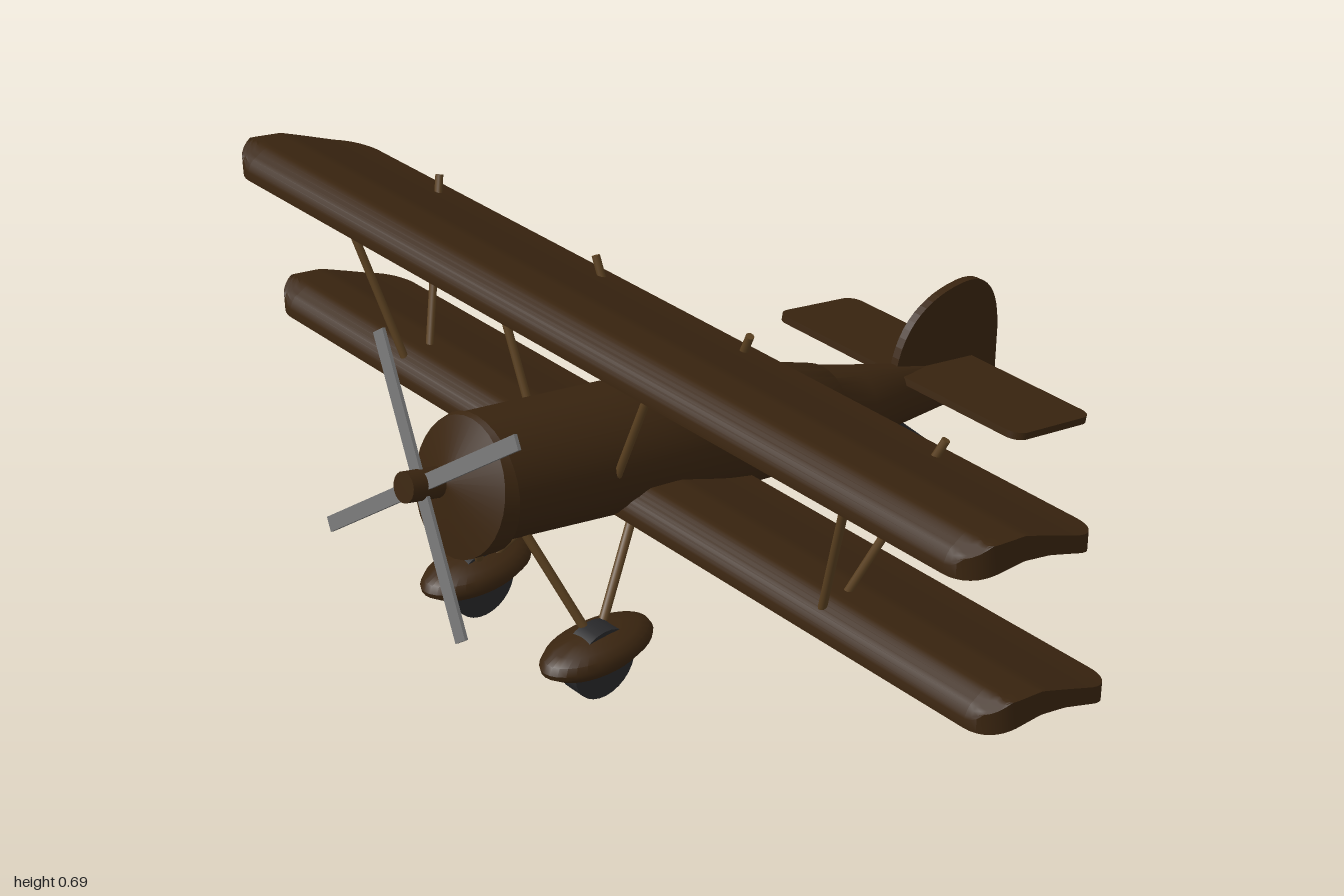
import * as THREE from 'three';
import { toCreasedNormals } from 'three/addons/utils/BufferGeometryUtils.js';

const mat = (name, color) => {
  const m = new THREE.MeshStandardMaterial({ color });
  m.name = name;
  return m;
};

// Skins a list of closed rings (arrays of [x, y, z]) into one surface
function loft(rings, crease = 0.6) {
  const n = rings[0].length, index = [];
  for (let i = 0; i < rings.length - 1; i++) {
    for (let j = 0; j < n; j++) {
      const k = (j + 1) % n;
      const a = i * n + j, b = i * n + k, c = a + n, d = b + n;
      index.push(a, c, b, b, c, d);
    }
  }
  const g = new THREE.BufferGeometry();
  g.setAttribute('position', new THREE.Float32BufferAttribute(rings.flat(2), 3));
  g.setIndex(index);
  return toCreasedNormals(g, crease);
}

// Elliptical ring through a top point and a bottom point on the centre plane
function ring([zt, yt, zb, yb, w], sides = 32) {
  return Array.from({ length: sides }, (_, j) => {
    const a = (j / sides) * Math.PI * 2, s = (Math.sin(a) + 1) / 2;
    return [Math.cos(a) * w, yb + (yt - yb) * s, zb + (zt - zb) * s];
  });
}

// Cambered wing section: z, top y, bottom y, from leading to trailing edge
const SECTION = [
  [0.402, 0.625, 0.606], [0.392, 0.645, 0.606], [0.355, 0.664, 0.608], [0.28, 0.651, 0.604],
  [0.22, 0.625, 0.588], [0.15, 0.594, 0.56], [0.088, 0.572, 0.533],
];
function sectionAt(z) {
  let i = 0;
  while (i < SECTION.length - 2 && z < SECTION[i + 1][0]) i++;
  const [a, b] = [SECTION[i], SECTION[i + 1]];
  const t = (a[0] - z) / (a[0] - b[0]);
  return [a[1] + (b[1] - a[1]) * t, a[2] + (b[2] - a[2]) * t];
}

// Wing with rounded tip corners
function wingGeometry() {
  const R = 0.06, right = [];
  for (let k = 0; k <= 8; k++) {
    const a = (k / 8) * Math.PI / 2;
    right.push([1 - R + R * Math.sin(a), R * (1 - Math.cos(a))]);
  }
  const stations = [...right.map(([x, c]) => [-x, c]).reverse(), ...right];
  const rings = stations.map(([x, cut]) => {
    const top = [], bottom = [];
    for (let j = 0; j <= 24; j++) {
      // Denser points near the leading edge
      const t = Math.pow(j / 24, 1.5);
      const z = 0.402 - cut + (0.088 - 0.402 + 2 * cut) * t;
      const [yt, yb] = sectionAt(z);
      top.push([x, yt, z]);
      bottom.unshift([x, yb, z]);
    }
    return [...top, ...bottom];
  });
  // Close the tips by folding the end section onto its middle line
  const fold = (r) => r.map(([x, y, z], j) => [x, (y + r[r.length - 1 - j][1]) / 2, z]);
  return loft([fold(rings[0]), ...rings, fold(rings[rings.length - 1])]);
}

export function createModel() {
  const root = new THREE.Group();
  const brown = mat('darkBrown', 0x3a2510);
  const wood = mat('strutBrown', 0x5a4020);
  const grey = mat('propellerGrey', 0x737373);
  const dark = mat('tyreBlack', 0x28282a);

  const add = (name, geometry, material, parent = root) => {
    const m = new THREE.Mesh(geometry, material);
    m.name = name;
    parent.add(m);
    return m;
  };
  const rod = (name, from, to, r, material) => {
    const a = new THREE.Vector3(...from), b = new THREE.Vector3(...to);
    const m = add(name, new THREE.CylinderGeometry(r, r, a.distanceTo(b), 10), material);
    m.position.copy(a).add(b).multiplyScalar(0.5);
    m.quaternion.setFromUnitVectors(new THREE.Vector3(0, 1, 0), b.sub(a).normalize());
  };

  // Fuselage: tapers to a vertical edge at the tail
  add('fuselage', loft([
    [0.59, 0.42, 0.59, 0.42, 0],
    [0.58, 0.545, 0.6, 0.308, 0.122],
    [0.3, 0.491, 0.3, 0.242, 0.125],
    [0.035, 0.438, 0.03, 0.178, 0.124],
    [-0.13, 0.376, -0.1, 0.152, 0.112],
    [-0.268, 0.32, -0.215, 0.126, 0.098],
    [-0.272, 0.314, -0.222, 0.133, 0.094],
    [-0.36, 0.282, -0.33, 0.12, 0.078],
    [-0.47, 0.245, -0.46, 0.108, 0.05],
    [-0.6, 0.2, -0.6, 0.095, 0.026],
    [-0.76, 0.16, -0.762, 0.08, 0.008],
    [-0.762, 0.12, -0.762, 0.12, 0],
  ].map((s) => ring(s))), brown);

  // Engine cowl with a shallow conical nose
  add('cowl', loft([
    [0.656, 0.445, 0.656, 0.445, 0],
    [0.586, 0.546, 0.66, 0.298, 0.122],
    [0.576, 0.549, 0.602, 0.289, 0.126],
    [0.588, 0.42, 0.588, 0.42, 0],
  ].map((s) => ring(s)), 0.4), brown);

  // Propeller: two crossed blades on a hub, tilted with the nose
  const propeller = new THREE.Group();
  propeller.name = 'propeller';
  propeller.position.set(0, 0.463, 0.706);
  propeller.rotation.x = -THREE.MathUtils.degToRad(15);
  root.add(propeller);
  add('hub', new THREE.CylinderGeometry(0.028, 0.028, 0.072, 20), brown, propeller).rotation.x = Math.PI / 2;
  for (const deg of [38, 128]) {
    add('blade', new THREE.BoxGeometry(0.56, 0.028, 0.007), grey, propeller).rotation.z = THREE.MathUtils.degToRad(deg);
  }

  // Wings
  const wing = wingGeometry();
  add('upperWing', wing, brown);
  add('lowerWing', wing, brown).position.set(0, -0.332, -0.068);

  // Tailplane: rounded plate sloping down to the rear
  const plate = new THREE.Shape();
  const [w, h, r] = [0.338, 0.115, 0.03];
  plate.absarc(w - r, h - r, r, 0, Math.PI / 2);
  plate.absarc(-w + r, h - r, r, Math.PI / 2, Math.PI);
  plate.absarc(-w + r, -h + r, r, Math.PI, Math.PI * 1.5);
  plate.absarc(w - r, -h + r, r, Math.PI * 1.5, Math.PI * 2);
  const tailGeo = new THREE.ExtrudeGeometry(plate, { depth: 0.015, bevelEnabled: false, curveSegments: 6 });
  tailGeo.translate(0, 0, -0.0075);
  const tail = add('tailplane', tailGeo, brown);
  tail.rotation.x = -Math.PI / 2 - 0.2;
  tail.position.set(0, 0.2, -0.58);

  // Tail fin, drawn in (-z, y)
  const fin = new THREE.Shape();
  fin.moveTo(0.47, 0.235);
  fin.bezierCurveTo(0.49, 0.33, 0.56, 0.368, 0.655, 0.368);
  fin.bezierCurveTo(0.735, 0.368, 0.768, 0.31, 0.77, 0.22);
  fin.lineTo(0.769, 0.12);
  fin.lineTo(0.758, 0.08);
  fin.lineTo(0.6, 0.12);
  const finGeo = new THREE.ExtrudeGeometry(fin, { depth: 0.018, bevelEnabled: false, curveSegments: 12 });
  finGeo.translate(0, 0, -0.009);
  add('tailFin', finGeo, brown).rotation.y = Math.PI / 2;

  rod('tailSkid', [0, 0.125, -0.46], [0, 0.025, -0.565], 0.009, dark);

  // Fender cross-section, spun and then stretched along z
  const fenderGeo = new THREE.LatheGeometry(
    [[0, 0.072], [0.8, 0.072], [0.98, 0.088], [1, 0.098], [0.93, 0.112], [0.75, 0.122], [0.45, 0.13], [0, 0.134]]
      .map((p) => new THREE.Vector2(...p)), 32);
  fenderGeo.scale(0.066, 1, 0.123);

  for (const s of [1, -1]) {
    // Outer wing struts and cabane struts
    rod('outerFrontStrut', [s * 0.685, 0.615, 0.355], [s * 0.57, 0.27, 0.3], 0.008, wood);
    rod('outerRearStrut', [s * 0.685, 0.62, 0.125], [s * 0.565, 0.262, 0.27], 0.008, wood);
    rod('cabaneFrontStrut', [s * 0.208, 0.61, 0.355], [s * 0.105, 0.36, 0.36], 0.008, wood);
    rod('cabaneRearStrut', [s * 0.21, 0.622, 0.125], [s * 0.105, 0.37, 0.13], 0.008, wood);

    // Landing gear
    rod('gearFrontStrut', [s * 0.065, 0.32, 0.534], [s * 0.165, 0.105, 0.468], 0.009, wood);
    rod('gearRearStrut', [s * 0.065, 0.29, 0.265], [s * 0.165, 0.105, 0.455], 0.009, wood);
    add('fender', toCreasedNormals(fenderGeo, 0.6), brown).position.set(s * 0.174, 0, 0.466);
    const wheel = add('wheel', new THREE.CylinderGeometry(0.07, 0.07, 0.046, 28), dark);
    wheel.rotation.z = Math.PI / 2;
    wheel.position.set(s * 0.174, 0.07, 0.466);
  }
  return root;
}
